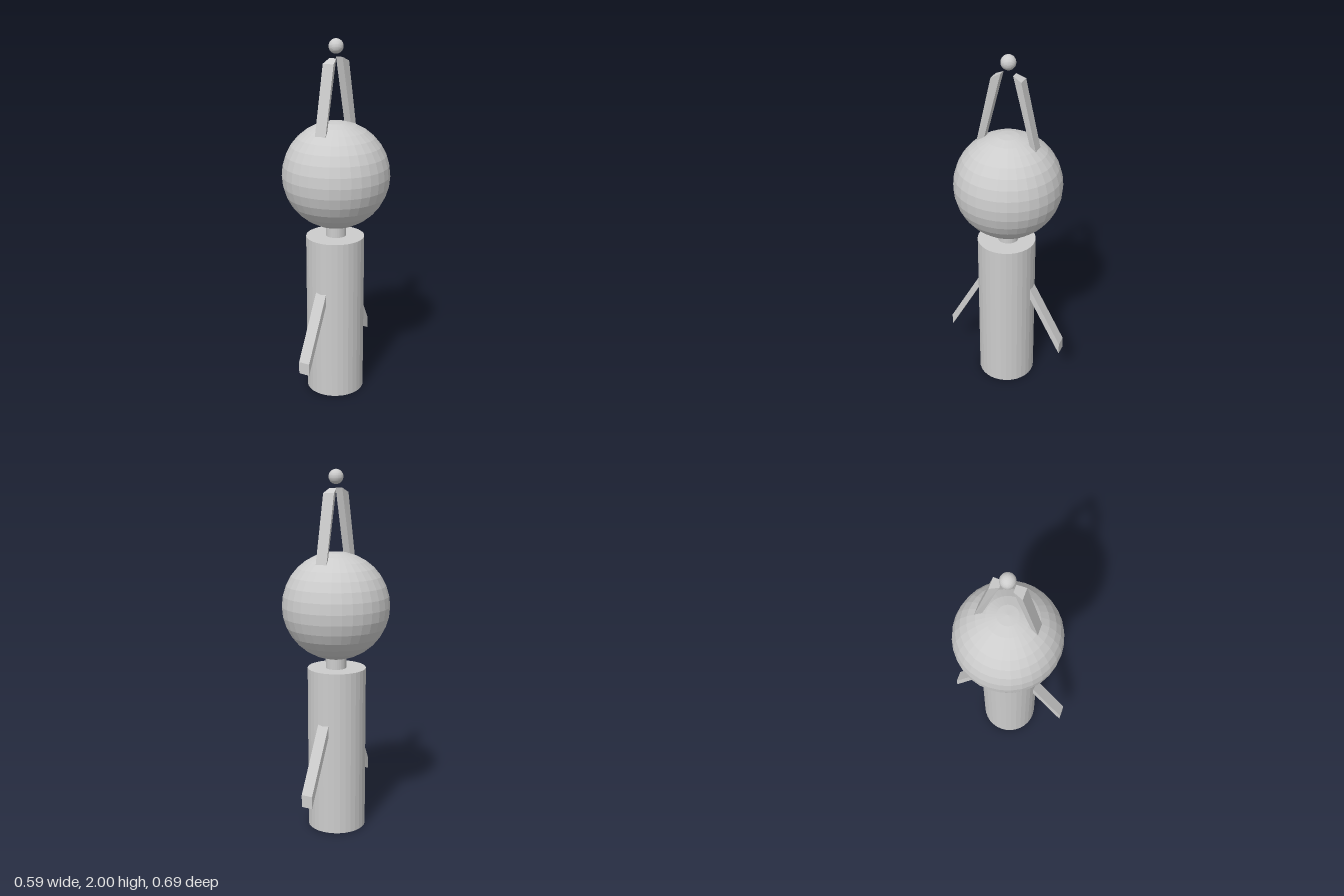
import * as THREE from 'three';

const HEAD_Z = -0.009; // the head group sits slightly behind the body axis

// Prism between an outer and an inner edge; each edge is [z, y, halfWidth] at its lower and upper end
function makeStrut(outerLow, outerHigh, innerLow, innerHigh) {
  const corners = [outerLow, outerHigh, innerHigh, innerLow].flatMap(([z, y, w]) => [[-w, y, z], [w, y, z]]);
  // outer, top, inner, bottom, left side, right side
  const quads = [[0, 1, 3, 2], [2, 3, 5, 4], [4, 5, 7, 6], [6, 7, 1, 0], [1, 7, 5, 3], [0, 2, 4, 6]];
  const positions = [];
  for (const [a, b, c, d] of quads) {
    for (const i of [a, b, c, a, c, d]) positions.push(...corners[i]);
  }
  const geometry = new THREE.BufferGeometry();
  geometry.setAttribute('position', new THREE.Float32BufferAttribute(positions, 3));
  geometry.computeVertexNormals();
  return geometry;
}

export function createModel() {
  const model = new THREE.Group();
  model.name = 'figure';
  const grey = new THREE.MeshStandardMaterial({ color: 0xcccccc, flatShading: true });
  grey.name = 'light grey';

  function add(name, geometry, x, y, z) {
    const mesh = new THREE.Mesh(geometry, grey);
    mesh.name = name;
    mesh.position.set(x, y, z);
    model.add(mesh);
    return mesh;
  }

  // Body and neck
  add('body', new THREE.CylinderGeometry(0.162, 0.162, 0.924, 32), 0, 0.462, 0);
  add('neck', new THREE.CylinderGeometry(0.057, 0.057, 0.1, 32), 0, 0.964, HEAD_Z);

  // Head and the small ball floating above it
  add('head', new THREE.SphereGeometry(0.295, 32, 16), 0, 1.271, HEAD_Z);
  add('topBall', new THREE.SphereGeometry(0.0395, 32, 16), 0, 1.9605, HEAD_Z);

  // Arms slope down and out, antennae lean in; one of each at front and back
  const arm = makeStrut(
    [0.346, 0.217, 0.032], [0.346, 0.286, 0.032],
    [0.145, 0.588, 0.032], [0.145, 0.655, 0.032]
  );
  const antenna = makeStrut(
    [0.17, 1.5, 0.032], [0.083, 1.878, 0.032],
    [0.137, 1.5, 0.02], [0.034, 1.902, 0.02]
  );
  for (const [side, turn] of [['front', 0], ['back', Math.PI]]) {
    add(side + 'Arm', arm, 0, 0, 0).rotation.y = turn;
    add(side + 'Antenna', antenna, 0, 0, HEAD_Z).rotation.y = turn;
  }
  return model;
}
